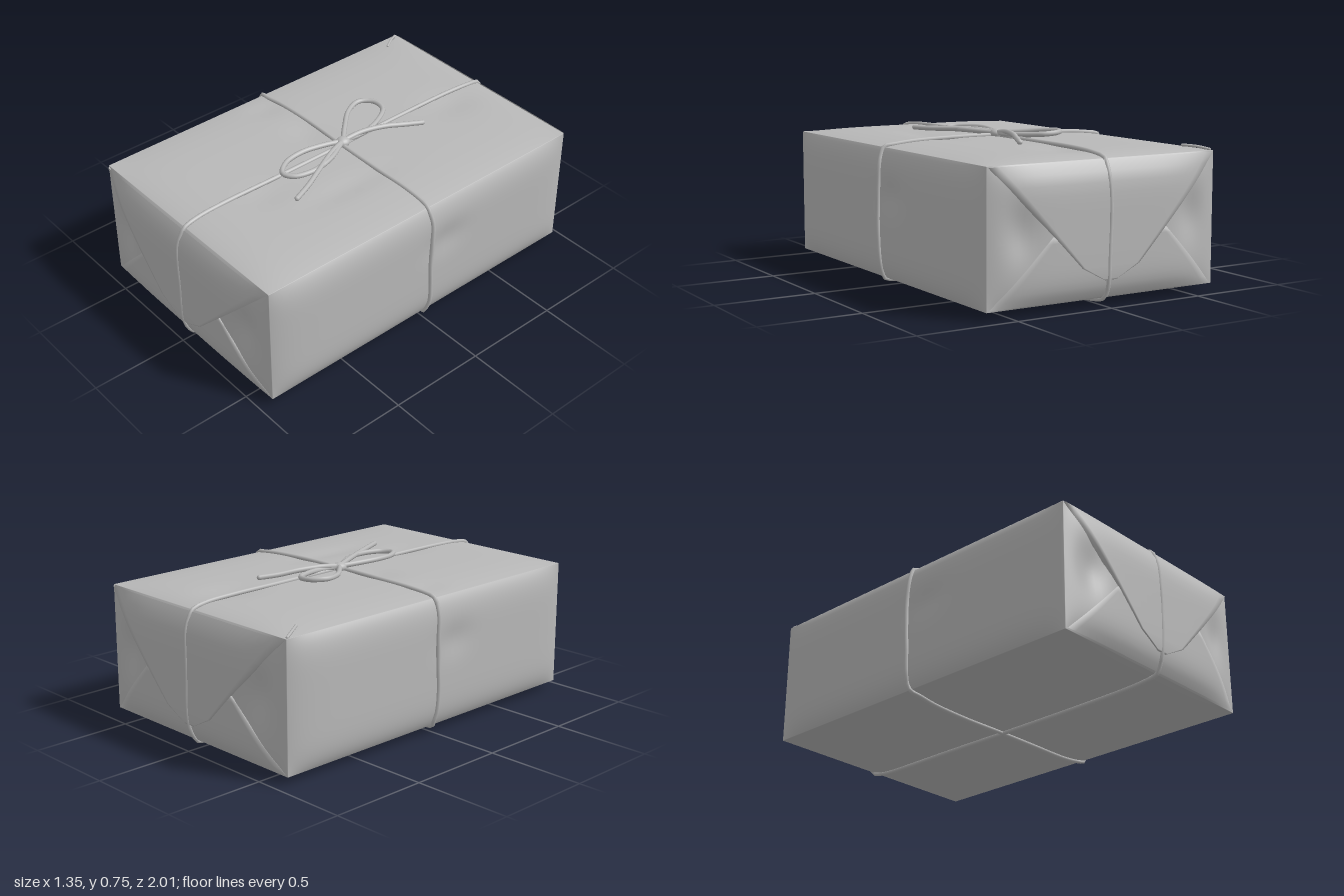
import * as THREE from 'three';
import { mergeVertices } from 'three/addons/utils/BufferGeometryUtils.js';

// Half sizes at the box edges, centre height and how far each face bulges
const X = 0.625, Y = 0.3175, Z = 0.94, CY = 0.3525;
const BX = 0.035, BY = 0.024, BZ = 0.048;
const fall = (t, p) => 1 - Math.pow(Math.min(1, Math.abs(t)), p);

// Pillowed box: u, v, w run from -1 to 1 across the parcel
function surface(u, v, w) {
  const a = fall(u, 5), b = fall(v, 6), c = fall(w, 12);
  return new THREE.Vector3(
    u * (X + BX * b * c),
    CY + v * (Y + BY * a * c),
    w * (Z + BZ * a * b));
}

const dent = (s, t, s0, t0, rs, rt) =>
  Math.exp(-(((s - s0) / rs) ** 2) - ((t - t0) / rt) ** 2);

export function createModel() {
  const group = new THREE.Group();
  const paper = new THREE.MeshStandardMaterial({ color: 0xb8b8b8, side: THREE.DoubleSide });
  paper.name = 'grey paper';

  const add = (geometry, name, parent = group) => {
    const mesh = new THREE.Mesh(geometry, paper);
    mesh.name = name;
    parent.add(mesh);
    return mesh;
  };

  // Wrapped box with shallow dents in the paper
  let box = new THREE.BoxGeometry(2, 2, 2, 48, 40, 56);
  box.deleteAttribute('uv');
  box.deleteAttribute('normal');
  box = mergeVertices(box);
  const pos = box.attributes.position;
  const spread = t => Math.sin(t * Math.PI / 2);
  for (let i = 0; i < pos.count; i++) {
    const u = spread(pos.getX(i)), v = spread(pos.getY(i)), w = spread(pos.getZ(i));
    const p = surface(u, v, w);
    if (Math.abs(w) > 0.9999) {
      // hollows where the end folds tuck in
      p.z -= Math.sign(w) * 0.032 * dent(Math.abs(u), v, 0.75, 0.1, 0.13, 0.4) * fall(u, 8);
    }
    if (v > 0.9999) {
      p.y -= fall(u, 8) * fall(w, 12) * (
        0.014 * dent(u, w, 0.12, -0.72, 0.16, 0.15) +
        0.012 * dent(u, w, -0.28, 0.06, 0.16, 0.07) +
        0.010 * dent(u, w, -0.8, 0.08, 0.12, 0.08) +
        0.010 * dent(u, w, 0.45, 0.2, 0.1, 0.25) +
        0.009 * dent(u, w, 0.12, 0.55, 0.14, 0.12));
    }
    if (Math.abs(u) > 0.9999) {
      p.x -= Math.sign(u) * 0.014 * fall(v, 8) *
        dent(v, w, 0.3, -0.12 * Math.sign(u), 0.25, 0.12);
    }
    pos.setXYZ(i, p.x, p.y, p.z);
  }
  box.computeVertexNormals();
  add(box, 'wrappedBox');

  // Folded end flap: rows of [height, half width], laid over the bulged end
  function flap(rows, lift) {
    const N = 28, M = 10, verts = [], index = [];
    const levels = [];
    rows.slice(1).forEach((r, k) => {
      for (let j = k ? 1 : 0; j <= M; j++) {
        const t = j / M;
        levels.push(rows[k].map((a, n) => a + (r[n] - a) * t));
      }
    });
    levels.push(levels[levels.length - 1].slice());
    levels.forEach(([y, half], j) => {
      for (let i = 0; i <= N; i++) {
        // the outer columns and the last row turn down to the box
        const s = Math.max(-1, Math.min(1, (i - N / 2) / (N / 2 - 1)));
        const rim = i === 0 || i === N || j === levels.length - 1;
        const p = surface(s * half / X, (y - CY) / Y, 1);
        verts.push(p.x, y, p.z + (rim ? -0.012 : lift));
        if (j && i) {
          const d = j * (N + 1) + i, c = d - 1, b = d - N - 1, a = b - 1;
          index.push(a, c, b, b, c, d);
        }
      }
    });
    // keep the faces turned outwards when rows climb instead of descend
    if (rows[0][0] < rows[1][0]) index.reverse();
    const g = new THREE.BufferGeometry();
    g.setAttribute('position', new THREE.Float32BufferAttribute(verts, 3));
    g.setIndex(index);
    g.computeVertexNormals();
    return g;
  }

  // Tube through a short list of points, with rounded ends
  function cord(points, radius, name, parent, closed = false) {
    const pts = points.map(p => p.isVector3 ? p : new THREE.Vector3(...p));
    const curve = new THREE.CatmullRomCurve3(pts, closed, 'centripetal');
    add(new THREE.TubeGeometry(curve, closed ? 160 : 48, radius, 8, closed), name, parent);
    if (closed) return;
    for (const end of [pts[0], pts[pts.length - 1]]) {
      add(new THREE.SphereGeometry(radius, 8, 6), name + 'End', parent).position.copy(end);
    }
  }

  const upper = flap([[0.665, 0.617], [0.19, 0.155], [0.125, 0.03]], 0.009);
  const lower = flap([[0.042, 0.612], [0.345, 0.31]], 0.003);
  for (const [name, turn] of [['front', 0], ['back', Math.PI]]) {
    const end = new THREE.Group();
    end.name = name + 'Folds';
    end.rotation.y = turn;
    add(upper, name + 'UpperFlap', end);
    add(lower, name + 'LowerFlap', end);
    cord([[0.33, 0.35, 0.974], [0.39, 0.29, 0.963], [0.45, 0.24, 0.957]], 0.006, name + 'Crease', end);
    group.add(end);
  }

  // Small folded crease at one top corner
  cord([[-0.615, 0.674, -0.925], [-0.585, 0.684, -0.87], [-0.545, 0.688, -0.81]], 0.007, 'cornerCrease');

  // Two strings follow the box all the way around
  const R = 0.011;
  function loop(alongZ) {
    const pts = [], steps = [-1, -0.92, -0.75, -0.4, 0, 0.4, 0.75, 0.92];
    const sides = [t => [t, 1], t => [1, -t], t => [-t, -1], t => [-1, t]];
    for (const side of sides) {
      for (const t of steps) {
        const [h, v] = side(t);
        const wave = 0.005 * Math.sin(pts.length * 1.7);
        const p = alongZ ? surface(0.01 + wave, v, h) : surface(h, v, -0.01 + wave);
        const out = new THREE.Vector3(alongZ ? 0 : h, v, alongZ ? h : 0);
        for (const k of ['x', 'y', 'z']) if (Math.abs(out[k]) < 0.99) out[k] = 0;
        pts.push(p.addScaledVector(out.normalize(), 0.004));
      }
    }
    return pts;
  }
  cord(loop(true), R, 'lengthwiseString', group, true);
  cord(loop(false), R, 'crosswiseString', group, true);

  // Bow: knot, two loops and two loose tails
  const bow = new THREE.Group();
  bow.name = 'bow';
  group.add(bow);
  const knot = add(new THREE.SphereGeometry(0.034, 16, 12), 'knot', bow);
  knot.position.set(0, 0.706, -0.02);
  knot.scale.set(1, 0.75, 1.1);
  cord([[0, 0.71, -0.02], [-0.08, 0.718, -0.1], [-0.165, 0.728, -0.2], [-0.19, 0.732, -0.29],
    [-0.14, 0.73, -0.35], [-0.07, 0.725, -0.345], [-0.015, 0.718, -0.26], [0.012, 0.712, -0.15],
    [0, 0.708, -0.02]], 0.013, 'backLoop', bow);
  cord([[0, 0.71, -0.02], [-0.03, 0.715, 0.08], [-0.05, 0.718, 0.2], [-0.035, 0.716, 0.31],
    [0.02, 0.713, 0.375], [0.07, 0.712, 0.35], [0.1, 0.714, 0.25], [0.08, 0.716, 0.13],
    [0, 0.71, -0.02]], 0.013, 'frontLoop', bow);
  cord([[0, 0.712, -0.02], [0.015, 0.724, -0.13], [0.05, 0.722, -0.25], [0.09, 0.71, -0.35],
    [0.13, 0.704, -0.435]], 0.013, 'backTail', bow);
  cord([[0, 0.712, -0.02], [0.05, 0.72, 0.1], [0.12, 0.716, 0.24], [0.17, 0.712, 0.34],
    [0.215, 0.712, 0.445]], 0.013, 'frontTail', bow);

  return group;
}
